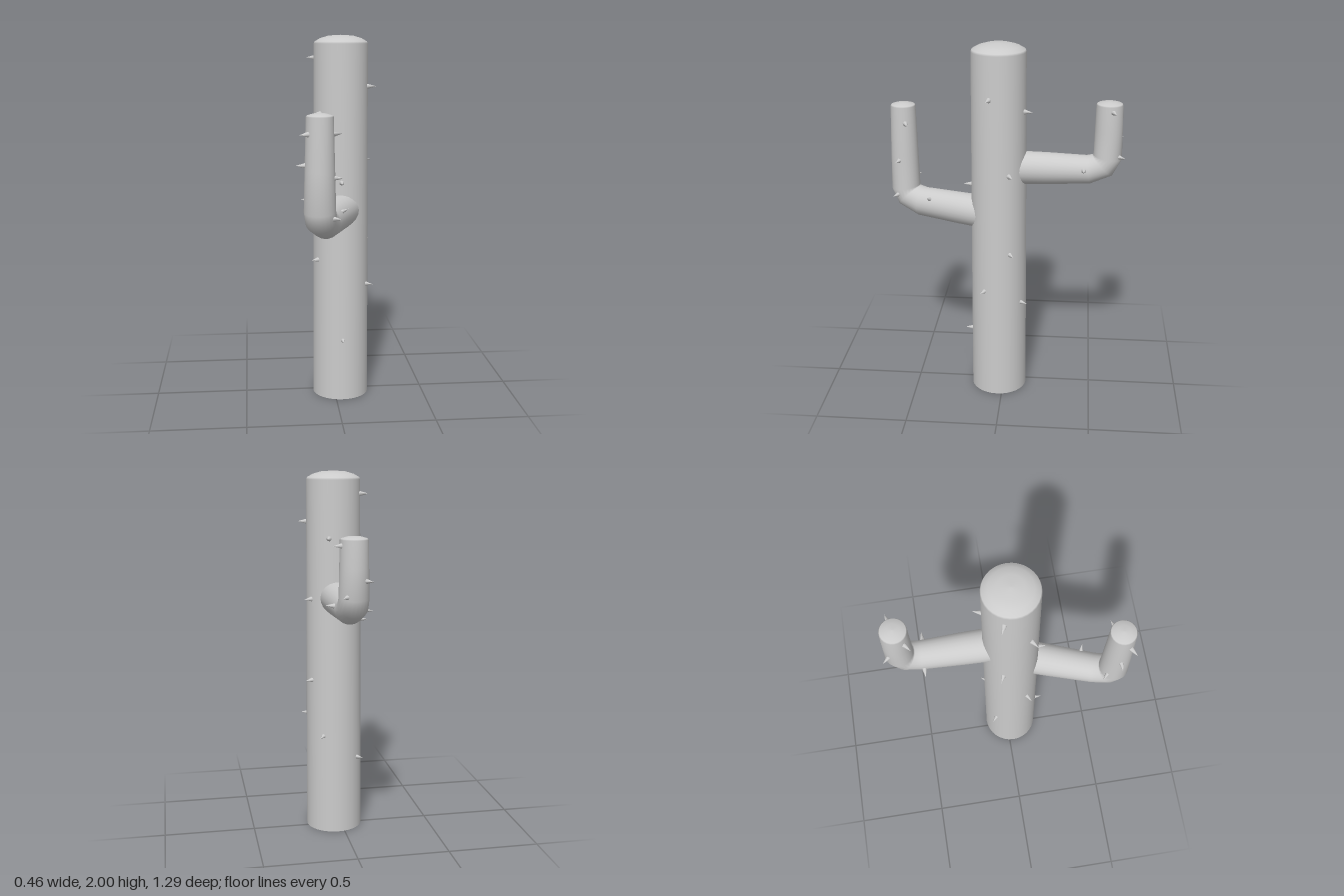
import * as THREE from 'three';

const material = new THREE.MeshStandardMaterial({ color: 0xcccccc, side: THREE.DoubleSide });
const TRUNK = { x: 0.035, z: 0.025 };

function addMesh(parent, name, geometry) {
  const mesh = new THREE.Mesh(geometry, material);
  mesh.name = name;
  parent.add(mesh);
  return mesh;
}

// Round tube through sections [s, y, radius, tilt in degrees] lying in the local z-y plane
function loft(sections, sides = 24) {
  const positions = [], index = [];
  sections.forEach(([s, y, r, tilt], i) => {
    const a = THREE.MathUtils.degToRad(tilt);
    for (let j = 0; j < sides; j++) {
      const t = (j / sides) * Math.PI * 2;
      positions.push(r * Math.cos(t), y + r * Math.sin(t) * Math.cos(a), s - r * Math.sin(t) * Math.sin(a));
      if (i === 0) continue;
      const k = (j + 1) % sides, p = (i - 1) * sides, q = i * sides;
      index.push(p + j, p + k, q + k, p + j, q + k, q + j);
    }
  });
  const geometry = new THREE.BufferGeometry();
  geometry.setAttribute('position', new THREE.Float32BufferAttribute(positions, 3));
  geometry.setIndex(index);
  geometry.computeVertexNormals();
  return geometry;
}

// Arm that leaves the trunk level, bends and ends in a low dome
function addArm(parent, name, { x, z, turn, sections, top, topRadius }) {
  const s = sections[sections.length - 1][0];
  const dome = [
    [s, top - 0.018, topRadius, 90],
    [s, top - 0.012, topRadius * 0.93, 90],
    [s, top - 0.003, topRadius * 0.5, 90],
    [s, top, 0.0005, 90],
  ];
  const arm = addMesh(parent, name, loft([...sections, ...dome]));
  arm.position.set(x, 0, z);
  arm.rotation.y = turn;
}

const spineGeometry = new THREE.ConeGeometry(0.016, 0.055, 8).translate(0, 0.0175, 0);

function addSpine(parent, position, direction) {
  const spine = addMesh(parent, 'spine', spineGeometry);
  spine.position.copy(position);
  spine.quaternion.setFromUnitVectors(new THREE.Vector3(0, 1, 0), direction.normalize());
}

// Spines around an upright stem: list of [height, degrees from the front towards +x]
function addSpineRing(parent, x, z, radius, list) {
  for (const [y, degrees] of list) {
    const a = THREE.MathUtils.degToRad(degrees);
    const out = new THREE.Vector3(Math.sin(a), 0, Math.cos(a));
    addSpine(parent, new THREE.Vector3(x, y, z).addScaledVector(out, radius), out);
  }
}

export function createModel() {
  const cactus = new THREE.Group();
  cactus.name = 'cactus';

  // Trunk, open underneath, slightly tapered, with a low dome
  const profile = [
    [0.155, 0], [0.152, 0.7], [0.148, 1.4], [0.145, 1.955], [0.14, 1.966],
    [0.11, 1.983], [0.065, 1.996], [0, 2],
  ].map(([r, y]) => new THREE.Vector2(r, y));
  addMesh(cactus, 'trunk', new THREE.LatheGeometry(profile, 32)).position.set(TRUNK.x, 0, TRUNK.z);

  // Arms
  addArm(cactus, 'frontArm', {
    x: 0.062, z: 0.05, turn: -0.34, top: 1.635, topRadius: 0.068,
    sections: [
      [0, 1.07, 0.091, 0], [0.2, 1.07, 0.088, 0], [0.44, 1.073, 0.082, 8],
      [0.52, 1.102, 0.081, 45], [0.546, 1.15, 0.08, 82], [0.546, 1.35, 0.075, 90],
    ],
  });
  addArm(cactus, 'backArm', {
    x: 0.037, z: -0.03, turn: Math.PI, top: 1.705, topRadius: 0.07,
    sections: [
      [0, 1.33, 0.091, 0], [0.2, 1.33, 0.086, 0], [0.425, 1.33, 0.077, 8],
      [0.498, 1.357, 0.077, 45], [0.525, 1.405, 0.076, 82], [0.525, 1.55, 0.073, 90],
    ],
  });

  // Spines on the trunk and on the upright parts of the arms
  const spines = new THREE.Group();
  spines.name = 'spines';
  cactus.add(spines);
  addSpineRing(spines, TRUNK.x, TRUNK.z, 0.149, [
    [0.345, 0], [0.645, 62], [0.87, 118], [1.32, 116], [1.73, 74], [1.88, 248], [0.79, 300],
    [1.225, -3], [1.65, 161], [0.56, 148], [1.2, 246], [0.42, 228], [1.59, 306],
  ]);
  addSpineRing(spines, -0.12, 0.565, 0.073, [
    [1.53, 108], [1.32, 74], [1.12, 62], [1.2, 228], [1.38, 270], [1.535, 300],
  ]);
  addSpineRing(spines, 0.036, -0.555, 0.07, [
    [1.66, 106], [1.415, 142], [1.49, 225], [1.63, 308],
  ]);

  // Spines on the level parts of the arms
  addSpine(spines, new THREE.Vector3(0.0, 1.115, 0.41), new THREE.Vector3(0.85, 0.45, 0.3));
  addSpine(spines, new THREE.Vector3(0.113, 1.345, -0.43), new THREE.Vector3(1, 0.1, 0));
  addSpine(spines, new THREE.Vector3(-0.04, 1.32, -0.44), new THREE.Vector3(-1, -0.1, 0));

  return cactus;
}
